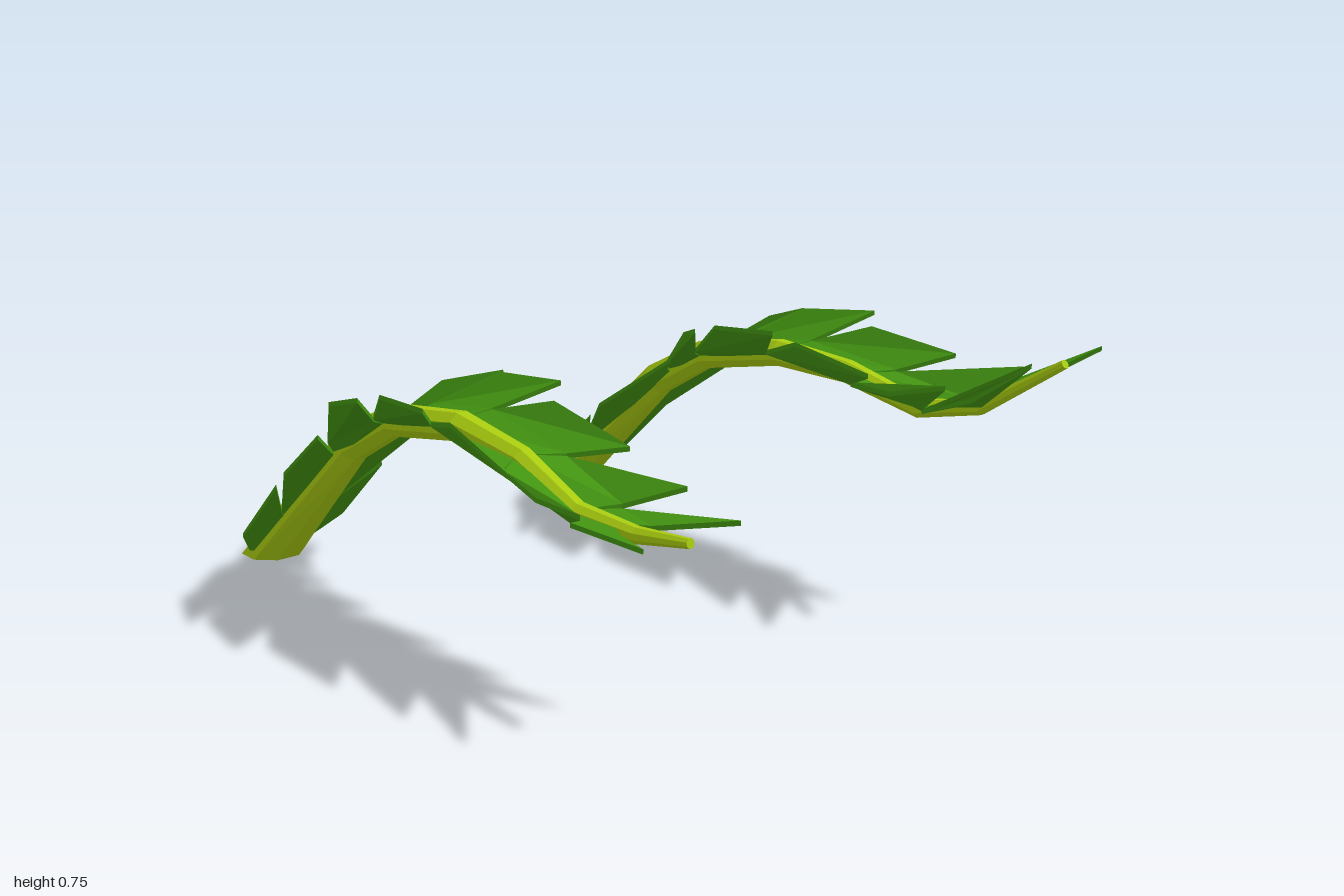
import * as THREE from 'three';

const stemGreen = new THREE.MeshStandardMaterial({ color: 0xa9cc10, flatShading: true });
stemGreen.name = 'yellowGreenStem';
const leafGreen = new THREE.MeshStandardMaterial({ color: 0x439512, flatShading: true });
leafGreen.name = 'leafGreen';

// Per leaflet: half width at the fold, at the outer start, at the tip, and lift of the tip
const LEAFLETS = [
  [0.08, 0.16, 0.165, 0.0],
  [0.08, 0.16, 0.185, 0.01],
  [0.09, 0.17, 0.215, 0.095],
  [0.09, 0.175, 0.2, 0.115],
  [0.09, 0.15, 0.172, 0.1],
  [0.075, 0.13, 0.153, 0.07],
  [0.045, 0.095, 0.138, 0.015],
];
const SIDES = 8;

function geometryFrom(points, index) {
  const g = new THREE.BufferGeometry();
  g.setAttribute('position', new THREE.Float32BufferAttribute(points.flat(), 3));
  g.setIndex(index);
  const flat = g.toNonIndexed();
  flat.computeVertexNormals();
  return flat;
}

// Height of the spine at x, linear between its points
function spineY(spine, x) {
  let i = 0;
  while (i < spine.length - 2 && x > spine[i + 1][0]) i++;
  const [x0, y0] = spine[i], [x1, y1] = spine[i + 1];
  return y0 + (y1 - y0) * (x - x0) / (x1 - x0);
}

// Tapered eight-sided stem, cut level with the ground at its foot
function stemGeometry(spine) {
  const points = [], index = [], n = spine.length;
  spine.forEach(([x, y, r], i) => {
    const a = spine[Math.max(i - 1, 0)], b = spine[Math.min(i + 1, n - 1)];
    const len = Math.hypot(b[0] - a[0], b[1] - a[1]);
    const nx = i ? -(b[1] - a[1]) / len : -1, ny = i ? (b[0] - a[0]) / len : 0;
    for (let k = 0; k < SIDES; k++) {
      const t = (k + 0.5) / SIDES * Math.PI * 2;
      const u = Math.cos(t) * r * 1.06;
      points.push([x + nx * u, y + ny * u, Math.sin(t) * r * 1.06]);
    }
  });
  for (let i = 0; i < n - 1; i++) {
    for (let k = 0; k < SIDES; k++) {
      const a = i * SIDES + k, b = i * SIDES + (k + 1) % SIDES;
      index.push(a, b, b + SIDES, a, b + SIDES, a + SIDES);
    }
  }
  const end = (n - 1) * SIDES;
  for (let k = 1; k < SIDES - 1; k++) {
    index.push(0, k + 1, k, end, end + k, end + k + 1);
  }
  return geometryFrom(points, index);
}

// Thin folded leaflet: root, fold and outer edge, each with a rear and a front point
function leafletGeometry(spine, rows, side) {
  const half = 0.006;
  const points = [];
  for (const up of [half, -half]) {
    for (const [x, w, lift] of rows) {
      points.push([x, Math.max(spineY(spine, x) + lift + up, 0), w * side]);
    }
  }
  const index = [];
  const quad = (a, b, c, d) => {
    if (side > 0) index.push(a, b, c, a, c, d);
    else index.push(a, c, b, a, d, c);
  };
  for (const a of [0, 2]) {
    quad(a, a + 2, a + 3, a + 1);
    quad(a + 6, a + 7, a + 9, a + 8);
  }
  const rim = [0, 1, 3, 5, 4, 2];
  rim.forEach((a, i) => {
    const b = rim[(i + 1) % rim.length];
    quad(a, b, b + 6, a + 6);
  });
  return geometryFrom(points, index);
}

function makeFrond(name, spine, tips) {
  const frond = new THREE.Group();
  frond.name = name;
  const stem = new THREE.Mesh(stemGeometry(spine), stemGreen);
  stem.name = 'stem';
  frond.add(stem);

  let root = -0.915, fold = -0.87, foldWidth = 0.1;
  LEAFLETS.forEach(([w, startW, tipW, lift], i) => {
    const tip = tips[i];
    const start = i ? tips[i - 1] + 0.035 : -0.79;
    const last = i === LEAFLETS.length - 1;
    const nextFold = tip - (last ? 0.18 : 0.13);
    const nextRoot = nextFold - 0.06;
    const foldLift = lift * 0.2;
    const rows = [
      [root, 0.01, 0], [nextRoot, 0.01, 0],
      [fold, foldWidth, foldLift], [nextFold, w, foldLift],
      [start, startW, lift * 0.85], [tip, tipW, lift],
    ];
    for (const side of [1, -1]) {
      const leaf = new THREE.Mesh(leafletGeometry(spine, rows, side), leafGreen);
      leaf.name = (side > 0 ? 'frontLeaflet' : 'backLeaflet') + (i + 1);
      frond.add(leaf);
    }
    root = nextRoot;
    fold = nextFold;
    foldWidth = w;
  });
  return frond;
}

export function createModel() {
  const model = new THREE.Group();
  model.name = 'palmFronds';

  // Spine points: x, y, radius
  const droopingFrond = makeFrond('droopingFrond', [
    [-0.915, 0, 0.085], [-0.455, 0.422, 0.047], [-0.25, 0.53, 0.041], [0.04, 0.575, 0.036],
    [0.28, 0.545, 0.03], [0.48, 0.468, 0.025], [0.68, 0.468, 0.019], [0.845, 0.493, 0.011],
  ], [-0.58, -0.32, -0.08, 0.17, 0.455, 0.67, 0.853]);
  droopingFrond.position.z = 0.543;

  const risingFrond = makeFrond('risingFrond', [
    [-0.915, 0, 0.085], [-0.455, 0.422, 0.047], [-0.25, 0.535, 0.041], [0.05, 0.592, 0.036],
    [0.3, 0.585, 0.03], [0.55, 0.535, 0.025], [0.74, 0.575, 0.019], [0.98, 0.73, 0.011],
  ], [-0.58, -0.2, -0.07, 0.21, 0.52, 0.75, 0.985]);
  risingFrond.position.z = -0.535;

  model.add(droopingFrond, risingFrond);
  return model;
}
